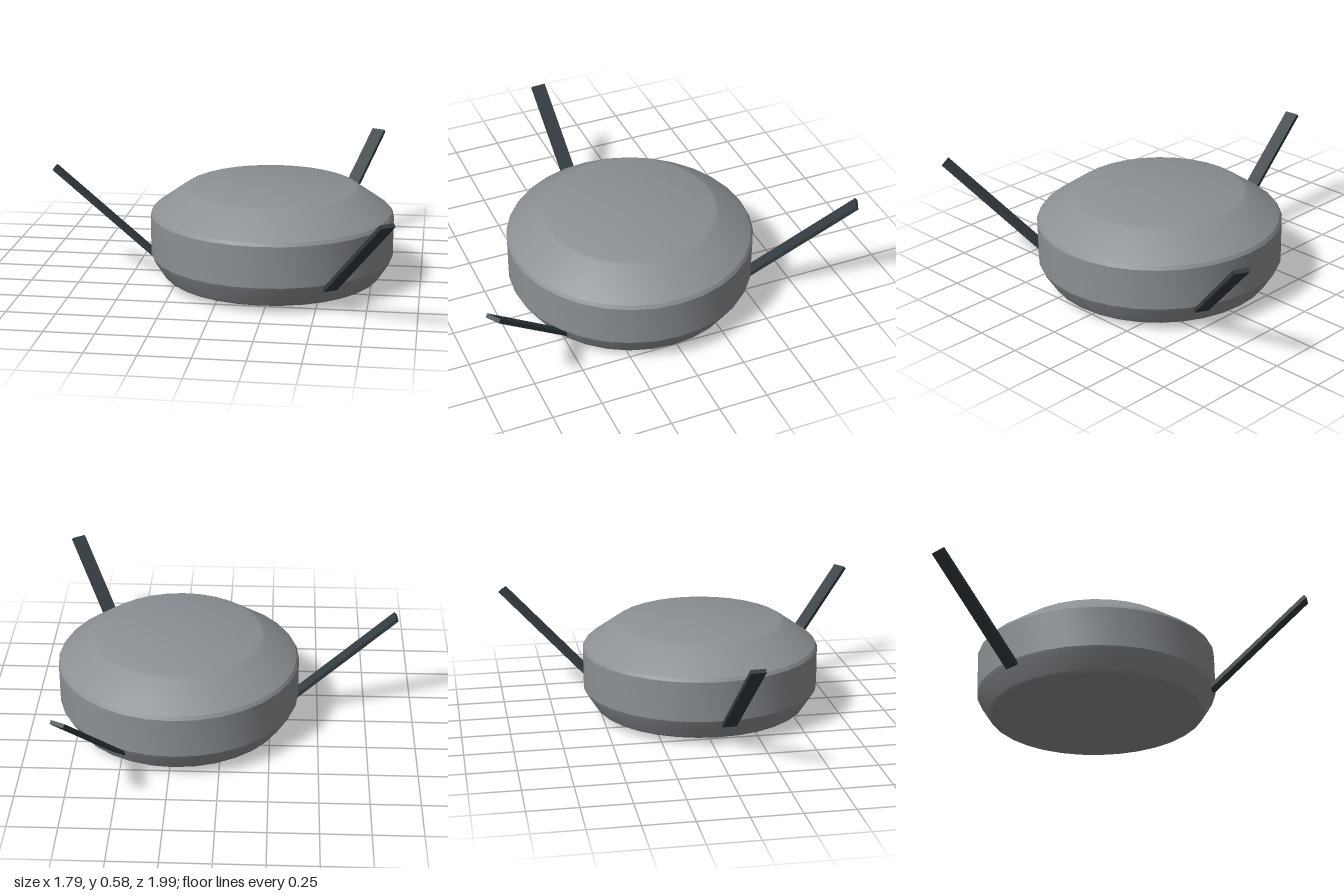
import * as THREE from 'three';
import { toCreasedNormals } from 'three/addons/utils/BufferGeometryUtils.js';

export function createModel() {
  const model = new THREE.Group();
  model.name = 'armedDisc';
  const shellGrey = new THREE.MeshStandardMaterial({ name: 'shellGrey', color: 0x8c9094 });
  const armCharcoal = new THREE.MeshStandardMaterial({ name: 'armCharcoal', color: 0x343d42 });

  // Everything is arranged around the axis of the round body
  const hub = new THREE.Group();
  hub.name = 'hub';
  hub.position.set(0.23, 0, 0.035);
  model.add(hub);

  // Body: turned profile with narrow bevels at each edge
  const profile = [
    [0, 0], [0.55, 0.033], [0.562, 0.042], [0.618, 0.13], [0.625, 0.146],
    [0.625, 0.355], [0.614, 0.372], [0.448, 0.489], [0.43, 0.496], [0, 0.506],
  ].map(([r, y]) => new THREE.Vector2(r, y));
  const body = new THREE.Mesh(toCreasedNormals(new THREE.LatheGeometry(profile, 32), 0.35), shellGrey);
  body.name = 'body';
  hub.add(body);

  // Three flat arms rising outward from the lower edge
  const inner = new THREE.Vector2(0.61, 0.118);
  const outer = new THREE.Vector2(1.125, 0.574);
  const armGeometry = new THREE.BoxGeometry(inner.distanceTo(outer), 0.02, 0.075);
  for (let i = 0; i < 3; i++) {
    const pivot = new THREE.Group();
    pivot.name = `armPivot${i + 1}`;
    pivot.rotation.y = -THREE.MathUtils.degToRad(56.2 + i * 120);
    const arm = new THREE.Mesh(armGeometry, armCharcoal);
    arm.name = `arm${i + 1}`;
    arm.position.set((inner.x + outer.x) / 2, (inner.y + outer.y) / 2, 0);
    arm.rotation.z = Math.atan2(outer.y - inner.y, outer.x - inner.x);
    pivot.add(arm);
    hub.add(pivot);
  }
  return model;
}
